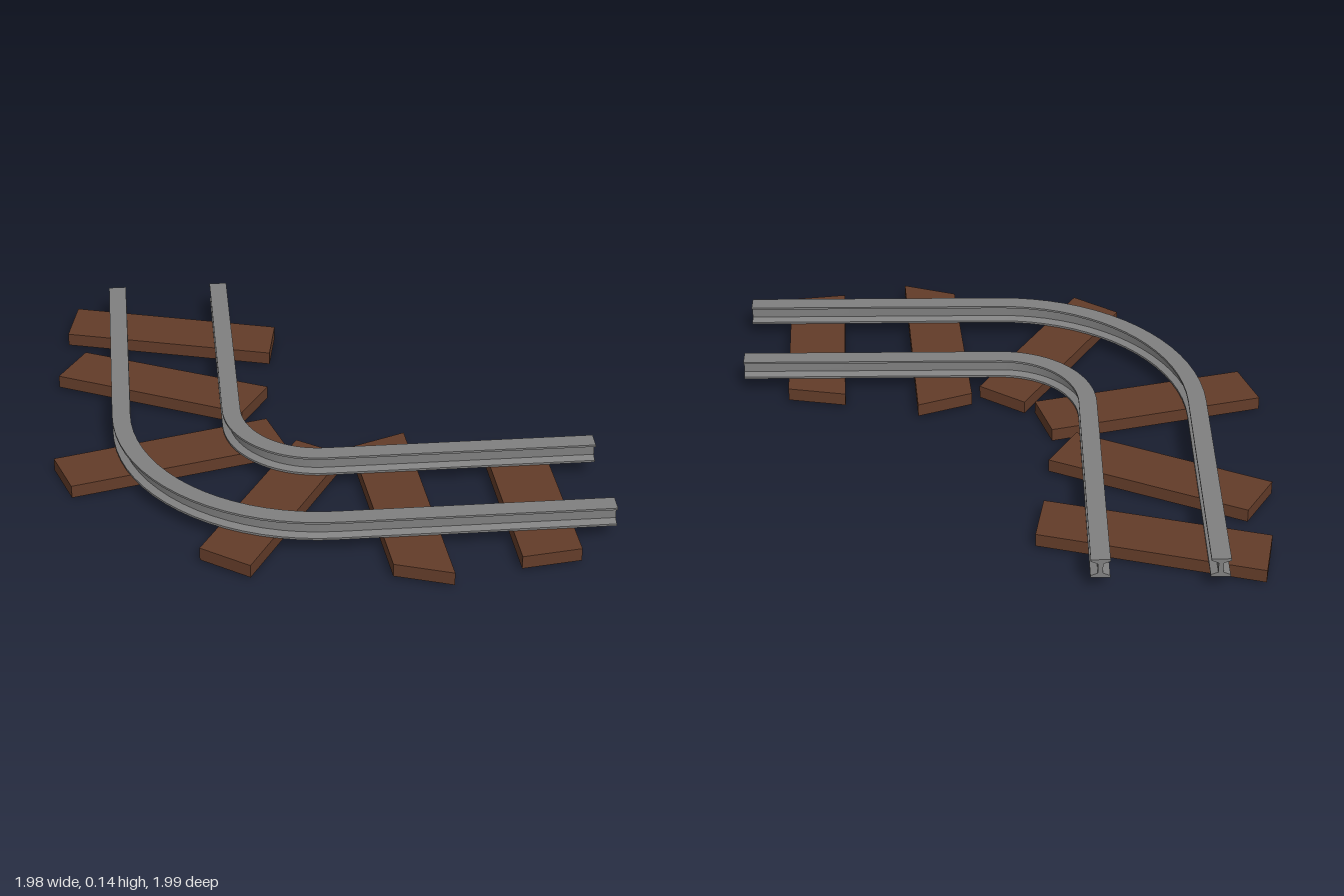
import * as THREE from 'three';
import { toCreasedNormals } from 'three/addons/utils/BufferGeometryUtils.js';

const END = 0.99;       // straight run beyond the bend centre
const Z0 = -0.012;      // z of the bend centre
const BEND_STEPS = 18;

// I-beam half profile (offset, height), mirrored into a closed counter-clockwise loop
const half = [[0.034, 0.06], [0.034, 0.068], [0.009, 0.078], [0.009, 0.117], [0.034, 0.127], [0.034, 0.135]];
const profile = [...half, ...half.map(([u, v]) => [-u, v]).reverse()];

// Sweeps the profile along straight, quarter bend, straight
function railGeometry(radius) {
  const stations = [{ x: -radius, z: -1, nx: -1, nz: 0 }];
  for (let i = 0; i <= BEND_STEPS; i++) {
    const a = (i / BEND_STEPS) * Math.PI / 2;
    const nx = -Math.cos(a), nz = Math.sin(a);
    stations.push({ x: radius * nx, z: Z0 + radius * nz, nx, nz });
  }
  stations.push({ x: END, z: Z0 + radius, nx: 0, nz: 1 });

  const rings = stations.map(s => profile.map(([u, v]) => [s.x + s.nx * u, v, s.z + s.nz * u]));
  const pos = [];
  const tri = (a, b, c) => pos.push(...a, ...b, ...c);
  for (let i = 0; i < rings.length - 1; i++) {
    for (let j = 0; j < profile.length; j++) {
      const k = (j + 1) % profile.length;
      const [r, s] = [rings[i], rings[i + 1]];
      tri(r[j], s[j], s[k]);
      tri(r[j], s[k], r[k]);
    }
  }
  // End caps
  const first = rings[0], last = rings[rings.length - 1];
  const outline = profile.map(([u, v]) => new THREE.Vector2(u, v));
  for (const [a, b, c] of THREE.ShapeUtils.triangulateShape(outline, [])) {
    tri(first[a], first[b], first[c]);
    tri(last[c], last[b], last[a]);
  }
  const geo = new THREE.BufferGeometry();
  geo.setAttribute('position', new THREE.Float32BufferAttribute(pos, 3));
  return toCreasedNormals(geo, 0.25);
}

// Irregular plank from four plan corners (x, z)
function tieGeometry(corners, bottom, height) {
  const shape = new THREE.Shape(corners.map(([x, z]) => new THREE.Vector2(x, -z)));
  const geo = new THREE.ExtrudeGeometry(shape, { depth: height, bevelEnabled: false });
  return geo.rotateX(-Math.PI / 2).translate(0, bottom, 0);
}

const ties = [
  { c: [[-0.90, -0.97], [-0.11, -0.75], [-0.145, -0.545], [-0.94, -0.765]], y: 0.01 },
  { c: [[-0.87, -0.615], [-0.17, -0.29], [-0.28, -0.11], [-0.975, -0.44]], y: 0.01 },
  { c: [[-0.19, -0.075], [-0.13, 0.12], [-0.925, 0.325], [-0.99, 0.135]], y: 0 },
  { c: [[-0.09, 0.10], [0.08, 0.215], [-0.31, 0.885], [-0.48, 0.765]], y: 0.01 },
  { c: [[0.11, 0.165], [0.315, 0.085], [0.385, 0.99], [0.18, 0.92]], y: 0.01 },
  { c: [[0.595, 0.165], [0.815, 0.205], [0.845, 0.885], [0.63, 0.915]], y: 0.01 },
];

export function createModel() {
  const model = new THREE.Group();
  model.name = 'curvedTrack';
  const steel = new THREE.MeshStandardMaterial({ color: 0x808080 });
  const wood = new THREE.MeshStandardMaterial({ color: 0x633c29 });
  const add = (name, geo, mat) => {
    const mesh = new THREE.Mesh(geo, mat);
    mesh.name = name;
    model.add(mesh);
  };

  // Rails
  add('outerRail', railGeometry(0.736), steel);
  add('innerRail', railGeometry(0.325), steel);

  // Wooden ties
  ties.forEach((t, i) => add(`tie${i + 1}`, tieGeometry(t.c, t.y, 0.05), wood));
  return model;
}
